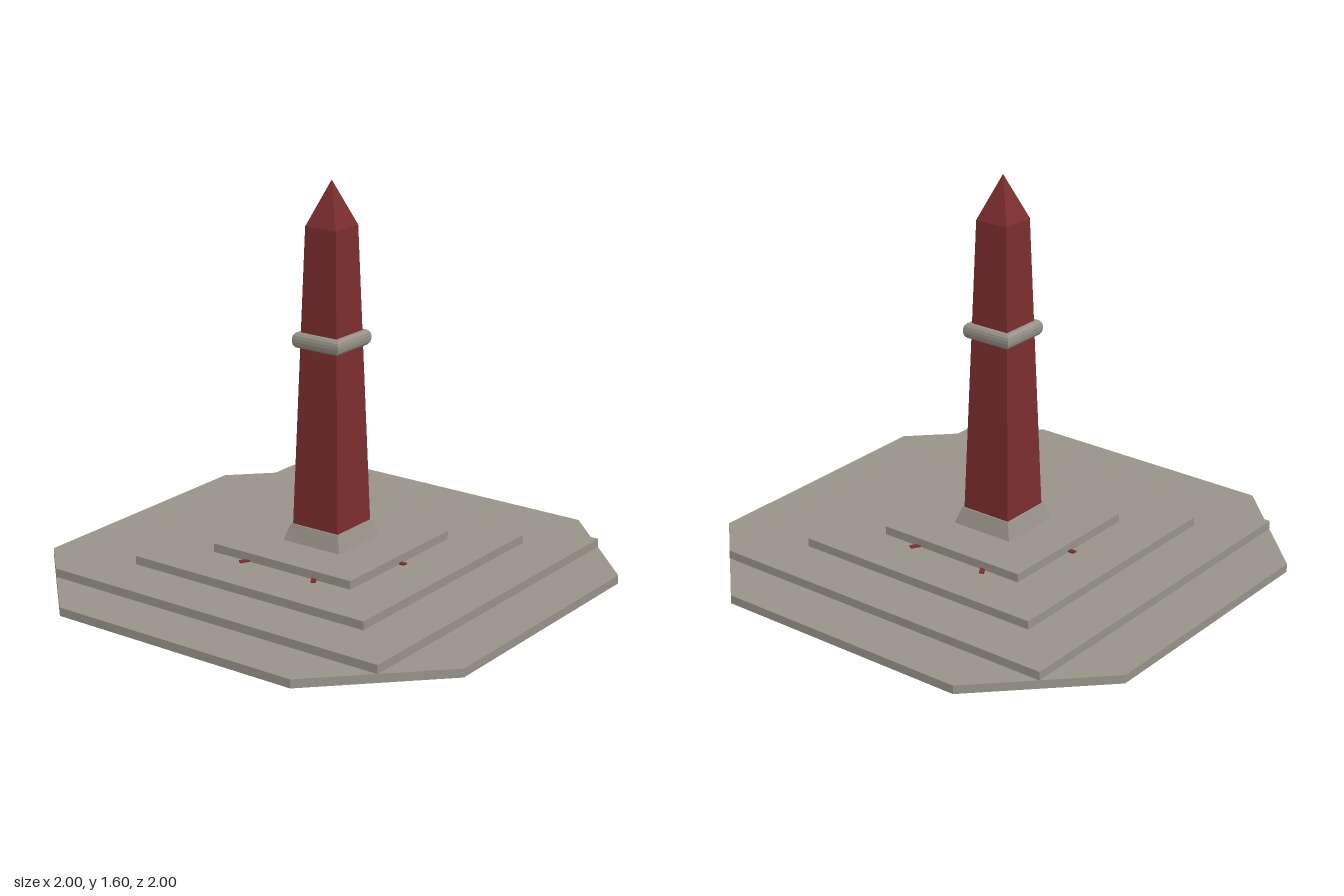
import * as THREE from 'three';

export function createModel() {
  const model = new THREE.Group();
  const stone = new THREE.MeshStandardMaterial({ color: 0x979389, flatShading: true });
  stone.name = 'grey stone';
  const red = new THREE.MeshStandardMaterial({ color: 0x7c2d2e, flatShading: true });
  red.name = 'dark red granite';

  const add = (name, geometry, material) => {
    const mesh = new THREE.Mesh(geometry, material);
    mesh.name = name;
    model.add(mesh);
    return mesh;
  };
  // square tapered block, given half widths and bottom and top heights
  const taper = (name, bottom, top, y0, y1, material) => {
    const g = new THREE.CylinderGeometry(top * Math.SQRT2, bottom * Math.SQRT2, y1 - y0, 4);
    g.rotateY(Math.PI / 4).translate(0, (y0 + y1) / 2, 0);
    return add(name, g, material);
  };

  // octagonal paving with cut corners
  const c = 0.555;
  const outline = [[1, -c], [1, c], [c, 1], [-c, 1], [-1, c], [-1, -c], [-c, -1], [c, -1]];
  const paving = new THREE.ExtrudeGeometry(
    new THREE.Shape(outline.map(([x, y]) => new THREE.Vector2(x, y))),
    { depth: 0.035, bevelEnabled: false });
  add('paving', paving.rotateX(-Math.PI / 2), stone);

  // square steps
  [0.778, 0.555, 0.335].forEach((half, i) => {
    const step = add(`step${i + 1}`, new THREE.BoxGeometry(half * 2, 0.035, half * 2), stone);
    step.position.y = 0.0525 + i * 0.035;
  });

  // plinth, shaft and pointed cap
  taper('plinth', 0.138, 0.116, 0.14, 0.208, stone);
  taper('shaft', 0.11, 0.073, 0.208, 1.42, red);
  taper('cap', 0.073, 0, 1.42, 1.6, red);

  // square collar with rounded edge
  const profile = [[0.08, 0.938], [0.1, 0.938], [0.108, 0.948], [0.111, 0.962], [0.111, 0.975],
    [0.108, 0.988], [0.1, 0.998], [0.08, 0.998]]
    .map(([r, y]) => new THREE.Vector2(r * Math.SQRT2, y));
  add('collar', new THREE.LatheGeometry(profile, 4, Math.PI / 4), stone);

  // six small red markers around the upper step
  for (let i = 0; i < 6; i++) {
    const a = i * Math.PI / 3;
    const marker = add(`marker${i + 1}`, new THREE.BoxGeometry(0.04, 0.008, 0.02), red);
    marker.position.set(0.34 * Math.cos(a), 0.107, 0.402 * Math.sin(a));
    marker.rotation.y = -a;
  }
  return model;
}
